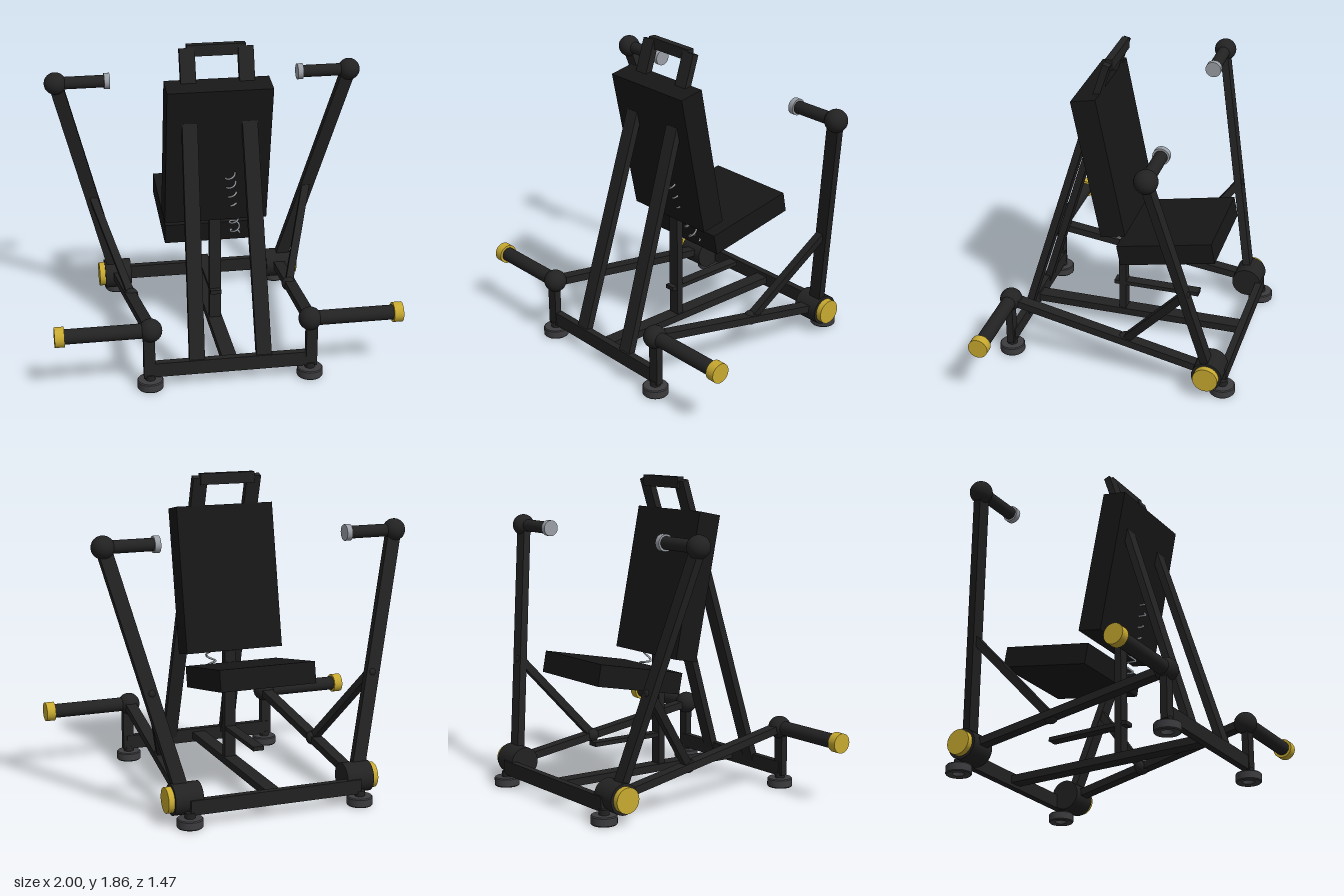
import * as THREE from 'three';

const mat = (color) => new THREE.MeshStandardMaterial({ color });
const frame = mat(0x222223), pad = mat(0x171718), gold = mat(0xc8aa30);
const rubber = mat(0x3c3c3f), steel = mat(0x9a9fa6);
const V = (x, y, z) => new THREE.Vector3(x, y, z);

export function createModel() {
  const model = new THREE.Group();

  const add = (name, geometry, material, x = 0, y = 0, z = 0, rx = 0) => {
    const m = new THREE.Mesh(geometry, material);
    m.name = name;
    m.position.set(x, y, z);
    m.rotation.x = rx;
    model.add(m);
    return m;
  };
  const box = (name, w, h, d, x, y, z, material = frame, rx = 0) =>
    add(name, new THREE.BoxGeometry(w, h, d), material, x, y, z, rx);
  const ball = (name, r, x, y, z) =>
    add(name, new THREE.SphereGeometry(r, 32, 20), frame, x, y, z);
  // cylinder lying along x, between two x values
  const rod = (name, r, x0, x1, y, z, material = frame) => {
    const m = add(name, new THREE.CylinderGeometry(r, r, Math.abs(x1 - x0), 32), material, (x0 + x1) / 2, y, z);
    m.rotation.z = Math.PI / 2;
    return m;
  };
  // flat bar between two points, its wide side kept towards x
  const bar = (name, a, b, w, d) => {
    const m = add(name, new THREE.BoxGeometry(w, a.distanceTo(b), d), frame);
    const Y = b.clone().sub(a).normalize();
    const Z = V(1, 0, 0).cross(Y).normalize();
    const X = Y.clone().cross(Z);
    m.quaternion.setFromRotationMatrix(new THREE.Matrix4().makeBasis(X, Y, Z));
    m.position.copy(a).add(b).multiplyScalar(0.5);
    return m;
  };

  // base frame
  box('frontCrossBeam', 0.96, 0.085, 0.042, 0, 0.117, 0.655);
  box('rearCrossBeam', 1.04, 0.085, 0.042, 0, 0.117, -0.66);
  box('centreBeam', 0.086, 0.045, 1.3, 0, 0.117, 0);
  box('seatPost', 0.07, 0.68, 0.043, 0, 0.46, 0.092);
  box('footBar', 0.065, 0.025, 0.53, 0, 0.318, -0.12);

  // cushions
  box('seat', 0.58, 0.126, 0.58, 0, 0.728, -0.245, pad, 0.19);
  box('backrest', 0.605, 0.867, 0.15, -0.002, 1.231, 0.153, pad, 0.197);

  // handle above the backrest
  box('headHandle', 0.336, 0.066, 0.042, 0, 1.832, 0.125);

  // shallow foot with a hollow underside
  const footProfile = [[0, 0.03], [0.035, 0.03], [0.035, 0.004], [0.042, 0], [0.07, 0], [0.075, 0.006],
    [0.075, 0.048], [0.07, 0.054], [0, 0.054]].map(([r, y]) => new THREE.Vector2(r, y));
  const segments = [];
  for (let i = 0; i < footProfile.length - 1; i++) segments.push([footProfile[i], footProfile[i + 1]]);

  for (const s of [1, -1]) {
    // feet
    for (const [x, z] of [[0.465, 0.66], [0.52, -0.66]]) {
      const foot = new THREE.Group();
      foot.name = 'foot';
      for (const seg of segments) {
        const ring = new THREE.Mesh(new THREE.LatheGeometry(seg, 32), rubber);
        ring.name = 'footRing';
        foot.add(ring);
      }
      foot.position.set(s * x, 0.004, z);
      model.add(foot);
      add('footStem', new THREE.CylinderGeometry(0.03, 0.03, 0.05, 20), frame, s * x, 0.065, z);
    }

    // backrest struts and handle legs
    bar('backStrut', V(s * 0.195, 0.12, 0.655), V(s * 0.172, 1.44, 0.255), 0.088, 0.042);
    bar('handleLeg', V(s * 0.168, 1.62, 0.2), V(s * 0.168, 1.845, 0.128), 0.088, 0.04);

    // weight pegs on front posts
    box('frontPost', 0.065, 0.27, 0.042, s * 0.47, 0.21, 0.66);
    ball('pegJoint', 0.067, s * 0.46, 0.366, 0.657);
    rod('weightPeg', 0.043, s * 0.46, s * 0.946, 0.366, 0.657);
    rod('pegCap', 0.058, s * 0.945, s * 1.0, 0.366, 0.657, gold);

    // pivot at the rear corner
    rod('pivotHousing', 0.09, s * 0.44, s * 0.605, 0.148, -0.582);
    rod('pivotCap', 0.074, s * 0.6, s * 0.64, 0.148, -0.582, gold);

    // swinging lever: side rail, arm and brace
    bar('sideRail', V(s * 0.46, 0.366, 0.657), V(s * 0.525, 0.148, -0.582), 0.068, 0.045);
    bar('pressArm', V(s * 0.53, 0.148, -0.582), V(s * 0.885, 1.535, -0.298), 0.08, 0.046);
    ball('railJoint', 0.043, s * 0.49, 0.24, -0.062);
    ball('armJoint', 0.028, s * 0.675, 0.735, -0.465);
    bar('brace', V(s * 0.49, 0.24, -0.062), V(s * 0.675, 0.735, -0.465), 0.046, 0.046);

    // hand grip
    ball('gripJoint', 0.066, s * 0.887, 1.537, -0.3);
    rod('grip', 0.037, s * 0.887, s * 0.598, 1.537, -0.3);
    rod('gripCap', 0.048, s * 0.6, s * 0.566, 1.537, -0.3, steel);
  }

  // tension spring running behind the backrest down to the seat
  const top = V(0.07, 1.11, 0.213), bottom = V(0.132, 0.65, 0.05);
  const axis = bottom.clone().sub(top).normalize();
  const u = V(1, 0, 0).addScaledVector(axis, -axis.x).normalize();
  const w = axis.clone().cross(u);
  const turns = 7, points = [];
  for (let i = 0; i <= turns * 12; i++) {
    const t = i / (turns * 12), a = t * turns * Math.PI * 2;
    points.push(top.clone().lerp(bottom, t)
      .addScaledVector(u, 0.028 * Math.cos(a)).addScaledVector(w, 0.028 * Math.sin(a)));
  }
  add('spring', new THREE.TubeGeometry(new THREE.CatmullRomCurve3(points), turns * 24, 0.006, 8), steel);

  return model;
}
